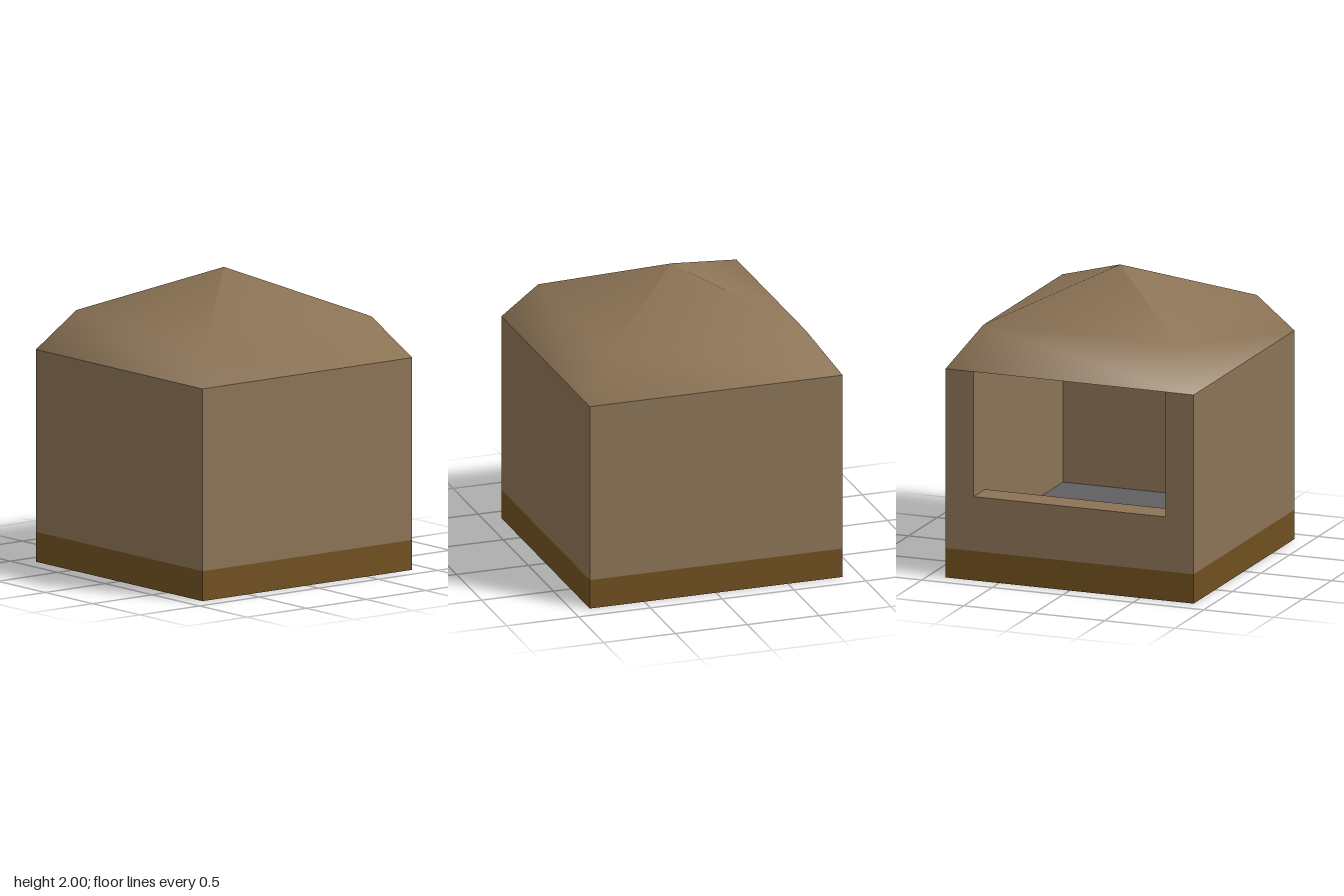
import * as THREE from 'three';

const HALF = 0.88;    // half width of the square plan
const WALL = 0.2;     // wall thickness
const BASE_TOP = 0.2;
const EAVES = 1.42;

export function createModel() {
  const group = new THREE.Group();
  group.name = 'shelter';

  const wallMat = new THREE.MeshStandardMaterial({ color: 0x8b7355 });
  const roofMat = new THREE.MeshStandardMaterial({ color: 0x8b7355, side: THREE.DoubleSide });
  const baseMat = new THREE.MeshStandardMaterial({ color: 0x704f1f });
  const floorMat = new THREE.MeshStandardMaterial({ color: 0x606063 });

  // Box given by its width, depth, bottom and top heights, and plan position
  function box(name, mat, w, d, y0, y1, x = 0, z = 0) {
    const mesh = new THREE.Mesh(new THREE.BoxGeometry(w, y1 - y0, d), mat);
    mesh.name = name;
    mesh.position.set(x, (y0 + y1) / 2, z);
    group.add(mesh);
  }

  const full = 2 * HALF;
  const inner = full - 2 * WALL;
  const offset = HALF - WALL / 2;

  // Plinth and floor
  box('base', baseMat, full, full, 0, BASE_TOP);
  box('floor', floorMat, inner, inner, BASE_TOP, 0.28);

  // Three closed walls and a low sill under the wide side opening
  box('frontWall', wallMat, full, WALL, BASE_TOP, EAVES, 0, offset);
  box('backWall', wallMat, full, WALL, BASE_TOP, EAVES, 0, -offset);
  box('leftWall', wallMat, WALL, inner, BASE_TOP, EAVES, offset, 0);
  box('rightSillWall', wallMat, WALL, inner, BASE_TOP, 0.57, -offset, 0);

  // Two-pitch tent roof: a four-sided lathe turned square to the walls
  const profile = [[HALF, EAVES], [0.69, 1.69], [0, 2]]
    .map(([r, y]) => new THREE.Vector2(r * Math.SQRT2, y));
  const roof = new THREE.Mesh(new THREE.LatheGeometry(profile, 4, Math.PI / 4), roofMat);
  roof.name = 'roof';
  group.add(roof);

  return group;
}
